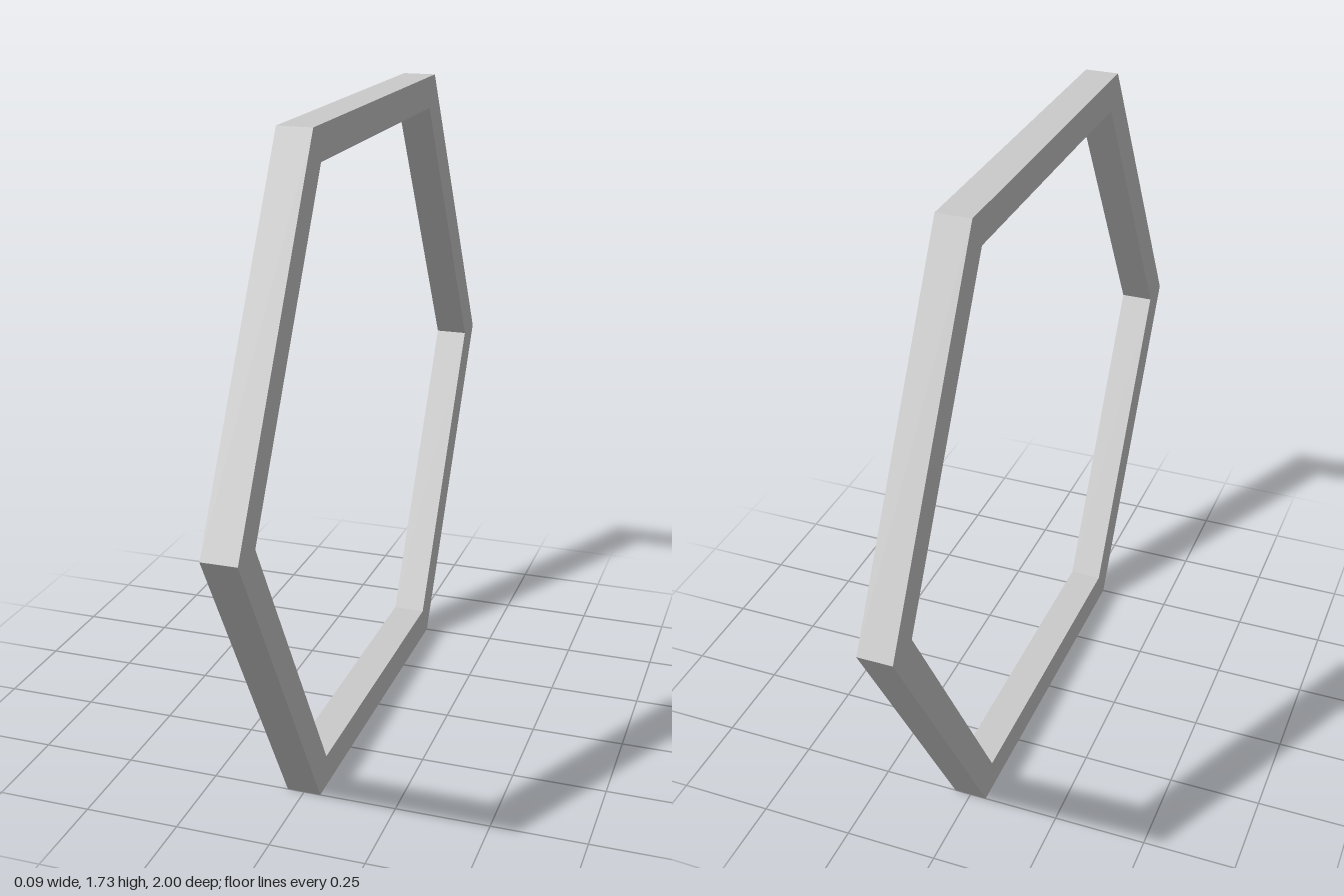
import * as THREE from 'three';

const OUTER = 1, INNER = 0.9, DEPTH = 0.09;

// Corner points of a regular hexagon with corners on the horizontal axis
function hexagon(radius) {
  return Array.from({ length: 6 }, (_, i) => {
    const a = (i * Math.PI) / 3;
    return new THREE.Vector2(radius * Math.cos(a), radius * Math.sin(a));
  });
}

export function createModel() {
  const group = new THREE.Group();
  group.name = 'hexagonalFrame';

  // Flat-sided hexagonal ring, standing on one edge
  const shape = new THREE.Shape(hexagon(OUTER));
  shape.holes.push(new THREE.Path(hexagon(INNER)));
  const geometry = new THREE.ExtrudeGeometry(shape, { depth: DEPTH, bevelEnabled: false });
  geometry.translate(0, 0, -DEPTH / 2);
  geometry.rotateY(Math.PI / 2);
  geometry.translate(0, OUTER * Math.sin(Math.PI / 3), 0);

  const material = new THREE.MeshStandardMaterial({ color: 0xcccccc, flatShading: true });
  const ring = new THREE.Mesh(geometry, material);
  ring.name = 'hexagonRing';
  group.add(ring);
  return group;
}
